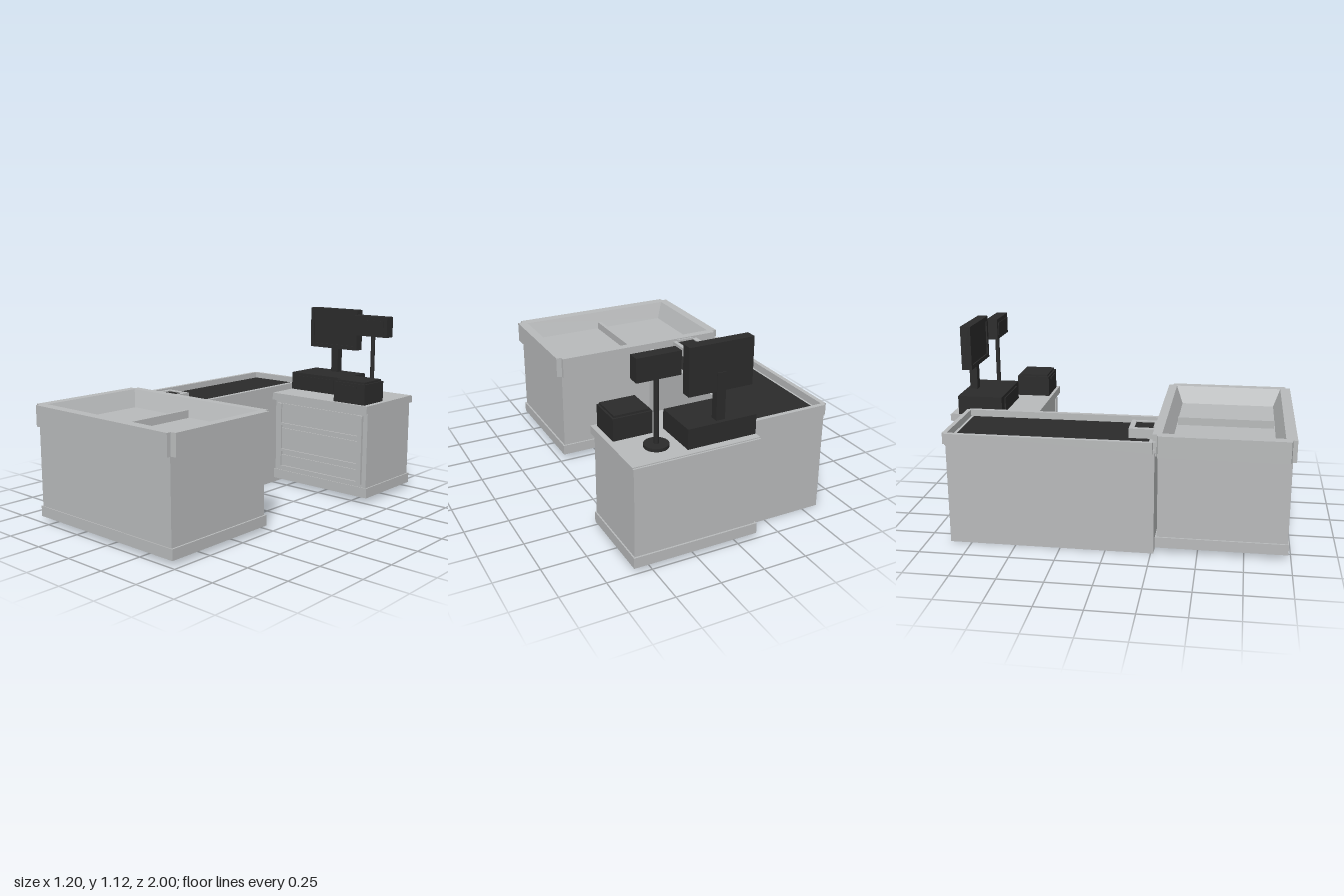
import * as THREE from 'three';

const grey = new THREE.MeshStandardMaterial({ color: 0xb8babb, side: THREE.DoubleSide });
grey.name = 'lightGrey';
const black = new THREE.MeshStandardMaterial({ color: 0x2b2b2b });
black.name = 'black';

// Box given by its limits on each axis
function box(parent, name, mat, x0, x1, y0, y1, z0, z1) {
  const m = new THREE.Mesh(new THREE.BoxGeometry(x1 - x0, y1 - y0, z1 - z0), mat);
  m.position.set((x0 + x1) / 2, (y0 + y1) / 2, (z0 + z1) / 2);
  m.name = name;
  parent.add(m);
  return m;
}

// Rectangular rim with notched outer corners and an open middle
function rim(parent, name, [x0, x1, z0, z1], notch, [a0, a1, b0, b1], y0, y1) {
  const n = notch;
  const pts = [
    [x0 + n, z0], [x1 - n, z0], [x1 - n, z0 + n * 0.8], [x1, z0 + n],
    [x1, z1 - n], [x1 - n, z1 - n * 0.8], [x1 - n, z1], [x0 + n, z1],
    [x0 + n, z1 - n * 0.8], [x0, z1 - n], [x0, z0 + n], [x0 + n, z0 + n * 0.8],
  ].map(([x, z]) => new THREE.Vector2(x, -z));
  const shape = new THREE.Shape(pts);
  shape.holes.push(new THREE.Path(
    [[a0, b0], [a0, b1], [a1, b1], [a1, b0]].map(([x, z]) => new THREE.Vector2(x, -z))));
  const geo = new THREE.ExtrudeGeometry(shape, { depth: y1 - y0, bevelEnabled: false });
  geo.rotateX(-Math.PI / 2);
  geo.translate(0, y0, 0);
  const m = new THREE.Mesh(geo, grey);
  m.name = name;
  parent.add(m);
}

// Four sloping walls from an upper rectangle down to a lower one
function funnel(parent, name, top, yTop, low, yLow) {
  const ring = ([x0, x1, z0, z1], y) => [[x0, y, z0], [x1, y, z0], [x1, y, z1], [x0, y, z1]];
  const a = ring(top, yTop), b = ring(low, yLow), pos = [];
  for (let i = 0; i < 4; i++) {
    const j = (i + 1) % 4;
    for (const p of [a[i], b[i], b[j], a[i], b[j], a[j]]) pos.push(...p);
  }
  const geo = new THREE.BufferGeometry();
  geo.setAttribute('position', new THREE.Float32BufferAttribute(pos, 3));
  geo.computeVertexNormals();
  const m = new THREE.Mesh(geo, grey);
  m.name = name;
  parent.add(m);
}

function group(parent, name) {
  const g = new THREE.Group();
  g.name = name;
  parent.add(g);
  return g;
}

export function createModel() {
  const model = new THREE.Group();
  model.name = 'checkoutCounter';

  // Packing counter with a divided tray
  const packing = group(model, 'packingCounter');
  box(packing, 'packingBody', grey, -0.57, 0.46, 0.035, 0.55, 0.28, 0.98);
  box(packing, 'packingPlinth', grey, -0.58, 0.47, 0.03, 0.09, 0.27, 0.985);
  const trayTop = [-0.545, 0.435, 0.3, 0.94], trayLow = [-0.5, 0.39, 0.34, 0.9];
  rim(packing, 'packingRim', [-0.6, 0.49, 0.25, 1], 0.03, trayTop, 0.55, 0.67);
  funnel(packing, 'traySlopes', trayTop, 0.67, trayLow, 0.57);
  box(packing, 'trayFloor', grey, -0.5, 0.39, 0.545, 0.57, 0.34, 0.9);
  box(packing, 'trayDivider', grey, -0.065, -0.043, 0.57, 0.615, 0.347, 0.893);

  // Conveyor with recessed belt
  const conveyor = group(model, 'conveyor');
  box(conveyor, 'conveyorBody', grey, -0.595, -0.115, 0, 0.592, -0.87, 0.265);
  rim(conveyor, 'conveyorRim', [-0.6, -0.11, -0.89, 0.268], 0.015,
    [-0.575, -0.137, -0.865, 0.255], 0.57, 0.632);
  box(conveyor, 'belt', black, -0.55, -0.163, 0.585, 0.602, -0.84, 0.22);

  // Scanner housing at the end of the belt
  const scanner = group(model, 'scanner');
  rim(scanner, 'scannerFrame', [-0.44, -0.275, 0.107, 0.255], 0.001,
    [-0.41, -0.3, 0.135, 0.245], 0.6, 0.655);
  box(scanner, 'scannerWindow', black, -0.41, -0.3, 0.6, 0.65, 0.135, 0.245);
  box(scanner, 'scannerBackEdge', grey, -0.41, -0.3, 0.65, 0.664, 0.24, 0.25);

  // Drawer cabinet
  const cabinet = group(model, 'cabinet');
  box(cabinet, 'cabinetBody', grey, -0.105, 0.59, 0.035, 0.56, -0.985, -0.515);
  box(cabinet, 'cabinetPlinth', grey, -0.115, 0.598, 0.03, 0.09, -0.995, -0.51);
  box(cabinet, 'cabinetTop', grey, -0.112, 0.6, 0.55, 0.595, -0.99, -0.487);
  box(cabinet, 'cabinetBackEdge', grey, -0.11, 0.6, 0.55, 0.59, -1, -0.985);
  for (const x of [-0.08, 0.53]) box(cabinet, 'drawerPost', grey, x, x + 0.03, 0.11, 0.53, -0.52, -0.498);
  for (const [y0, y1] of [[0.11, 0.195], [0.22, 0.37], [0.39, 0.53]]) {
    box(cabinet, 'drawerFront', grey, -0.05, 0.53, y0, y1, -0.52, -0.508);
    box(cabinet, 'drawerLip', grey, -0.05, 0.53, y0, y0 + 0.015, -0.52, -0.498);
  }

  // Cash drawer
  const cash = group(model, 'cashDrawer');
  box(cash, 'cashBox', black, -0.11, 0.28, 0.595, 0.705, -0.948, -0.685);
  box(cash, 'cashFront', black, -0.05, 0.22, 0.612, 0.687, -0.686, -0.678);

  // Monitor on its stand
  const monitor = group(model, 'monitor');
  box(monitor, 'monitorStand', black, 0.06, 0.11, 0.7, 0.96, -0.925, -0.88);
  box(monitor, 'monitorBack', black, -0.095, 0.265, 0.86, 1.115, -0.92, -0.868);
  const bezel = [[-0.095, -0.07, 0.86, 1.115], [0.24, 0.265, 0.86, 1.115],
    [-0.07, 0.24, 0.86, 0.885], [-0.07, 0.24, 1.087, 1.115]];
  for (const b of bezel) box(monitor, 'monitorBezel', black, ...b, -0.868, -0.86);

  // Customer display on a pole
  const display = group(model, 'customerDisplay');
  const disc = new THREE.Mesh(new THREE.CylinderGeometry(0.065, 0.065, 0.018, 24), black);
  disc.position.set(0.4, 0.604, -0.843);
  disc.name = 'poleBase';
  const pole = new THREE.Mesh(new THREE.CylinderGeometry(0.013, 0.013, 0.42, 16), black);
  pole.position.set(0.4, 0.81, -0.843);
  pole.name = 'pole';
  display.add(disc, pole);
  box(display, 'displayCase', black, 0.28, 0.52, 0.965, 1.09, -0.872, -0.806);
  box(display, 'displayScreen', black, 0.305, 0.497, 0.987, 1.065, -0.807, -0.802);

  // Receipt printer
  const printer = group(model, 'receiptPrinter');
  box(printer, 'printerBody', black, 0.35, 0.57, 0.595, 0.718, -0.705, -0.505);
  box(printer, 'printerLid', black, 0.36, 0.56, 0.718, 0.73, -0.695, -0.515);
  box(printer, 'printerSlot', black, 0.405, 0.515, 0.69, 0.703, -0.506, -0.499);

  return model;
}
